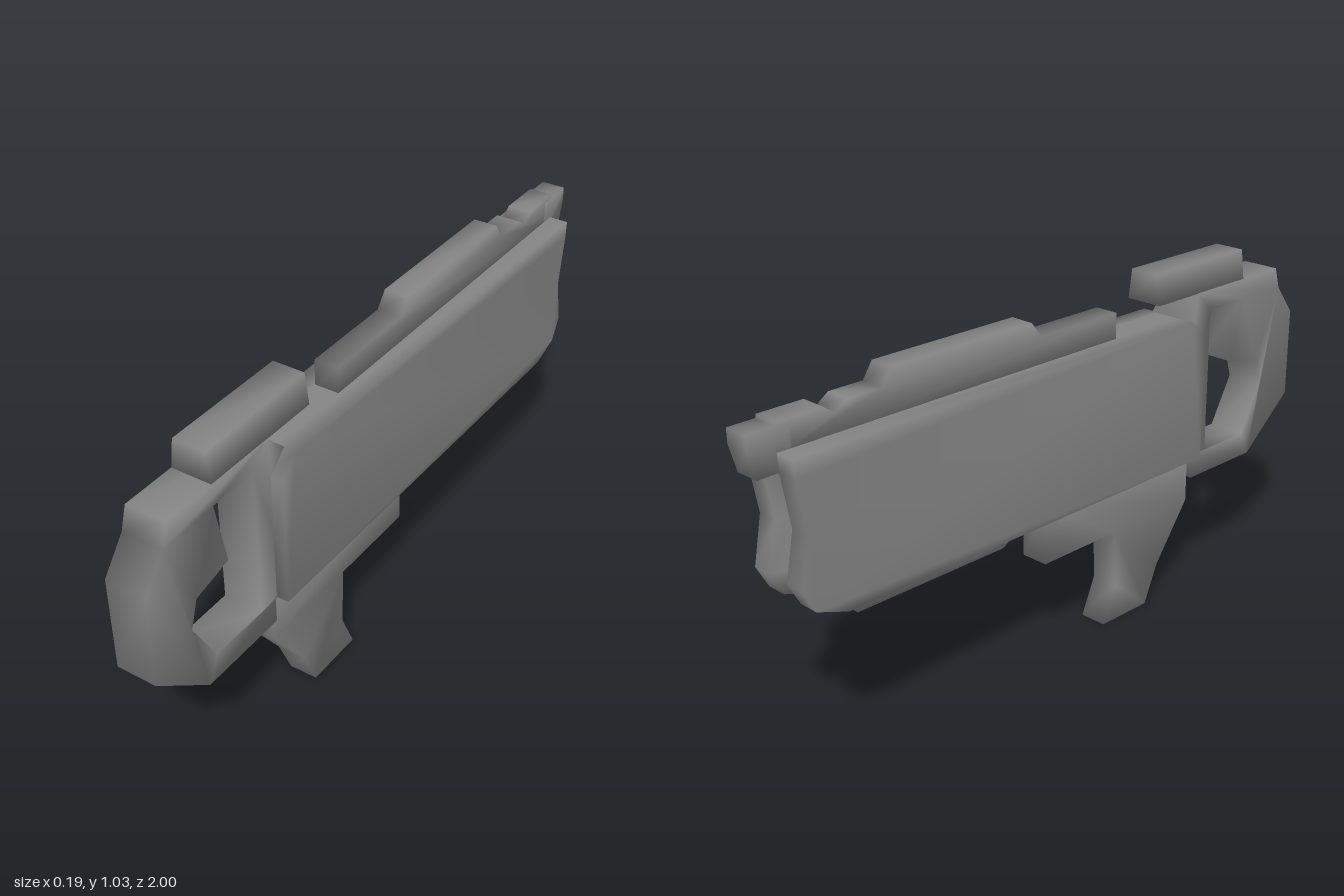
import * as THREE from 'three';
import { mergeVertices } from 'three/addons/utils/BufferGeometryUtils.js';

const material = new THREE.MeshStandardMaterial({ color: 0x848484 });

// Extrudes a side profile of [z, y] points to a given half width, with softly blended normals.
// An optional rule moves each vertex before the normals are made.
function slab(name, profile, half, { hole, steps = 1, rule } = {}) {
  const toPoints = (list) => list.map(([z, y]) => new THREE.Vector2(z, y));
  const shape = new THREE.Shape(toPoints(profile));
  if (hole) shape.holes.push(new THREE.Path(toPoints(hole)));
  let geo = new THREE.ExtrudeGeometry(shape, { depth: half * 2, steps, bevelEnabled: false });
  geo.translate(0, 0, -half).rotateY(-Math.PI / 2);
  geo.deleteAttribute('normal');
  geo.deleteAttribute('uv');
  geo = mergeVertices(geo, 1e-4);
  if (rule) {
    const pos = geo.attributes.position;
    const v = new THREE.Vector3();
    for (let i = 0; i < pos.count; i++) {
      v.fromBufferAttribute(pos, i);
      rule(v);
      pos.setXYZ(i, v.x, v.y, v.z);
    }
  }
  geo.computeVertexNormals();
  const mesh = new THREE.Mesh(geo, material);
  mesh.name = name;
  return mesh;
}

export function createModel() {
  const model = new THREE.Group();
  model.name = 'blaster';

  // Main housing, with a narrow steep-sided groove sunk into its muzzle end
  model.add(slab('housing', [
    [0.535, 0.445], [0.535, 0.825], [0.48, 0.88], [-0.92, 0.88], [-0.917, 0.83],
    [-0.893, 0.68], [-0.92, 0.545], [-0.885, 0.48], [-0.79, 0.445],
  ], 0.094, {
    steps: 5,
    rule: (v) => {
      const width = Math.abs(v.x);
      if (width > 0.08) return;
      const inner = width < 0.03;
      v.x = Math.sign(v.x) * (inner ? 0.024 : 0.034);
      if (inner && v.z < -0.88 && v.y > 0.46 && v.y < 0.85) v.z += 0.05;
    },
  }));

  // Top rail with its raised middle and small notch
  model.add(slab('topRail', [
    [0.215, 0.87], [0.215, 0.955], [-0.075, 0.955], [-0.11, 1.0], [-0.58, 1.0],
    [-0.61, 0.955], [-0.715, 0.955], [-0.75, 0.93], [-0.785, 0.955],
    [-0.92, 0.955], [-0.92, 0.87],
  ], 0.036));

  // Muzzle nub over the groove
  model.add(slab('muzzle', [
    [-0.88, 0.83], [-0.88, 0.945], [-1.0, 0.945], [-1.0, 0.905], [-0.98, 0.83],
  ], 0.036));

  // Underside strip, narrowing downward
  model.add(slab('lowerStrip', [
    [-0.19, 0.455], [-0.195, 0.435], [-0.215, 0.387], [-0.715, 0.387],
    [-0.715, 0.41], [-0.748, 0.41], [-0.748, 0.455],
  ], 0.056, { rule: (v) => { if (v.y < 0.42) v.x *= 0.5; } }));

  // Grip and trigger block
  model.add(slab('grip', [
    [0.537, 0.455], [0.537, 0.29], [0.41, 0.115], [0.36, 0], [0.175, 0],
    [0.225, 0.115], [0.217, 0.29], [-0.07, 0.29], [-0.07, 0.455],
  ], 0.043));

  // Open rear stock
  model.add(slab('stock', [
    [1.0, 0.79], [0.93, 0.88], [0.91, 0.945], [0.54, 0.945], [0.475, 0.88],
    [0.475, 0.46], [0.54, 0.44], [0.54, 0.367], [0.815, 0.367], [1.0, 0.52],
  ], 0.058, {
    hole: [
      [0.75, 0.883], [0.6, 0.883], [0.6, 0.442], [0.78, 0.442],
      [0.86, 0.585], [0.835, 0.665], [0.712, 0.695],
    ],
  }));

  // Sight bar on the stock, narrowing to its top
  model.add(slab('sightBar', [
    [0.75, 0.944], [0.75, 1.032], [0.37, 1.032], [0.37, 0.944],
  ], 0.058, { rule: (v) => { if (v.y > 1) v.x *= 0.81; } }));

  return model;
}
